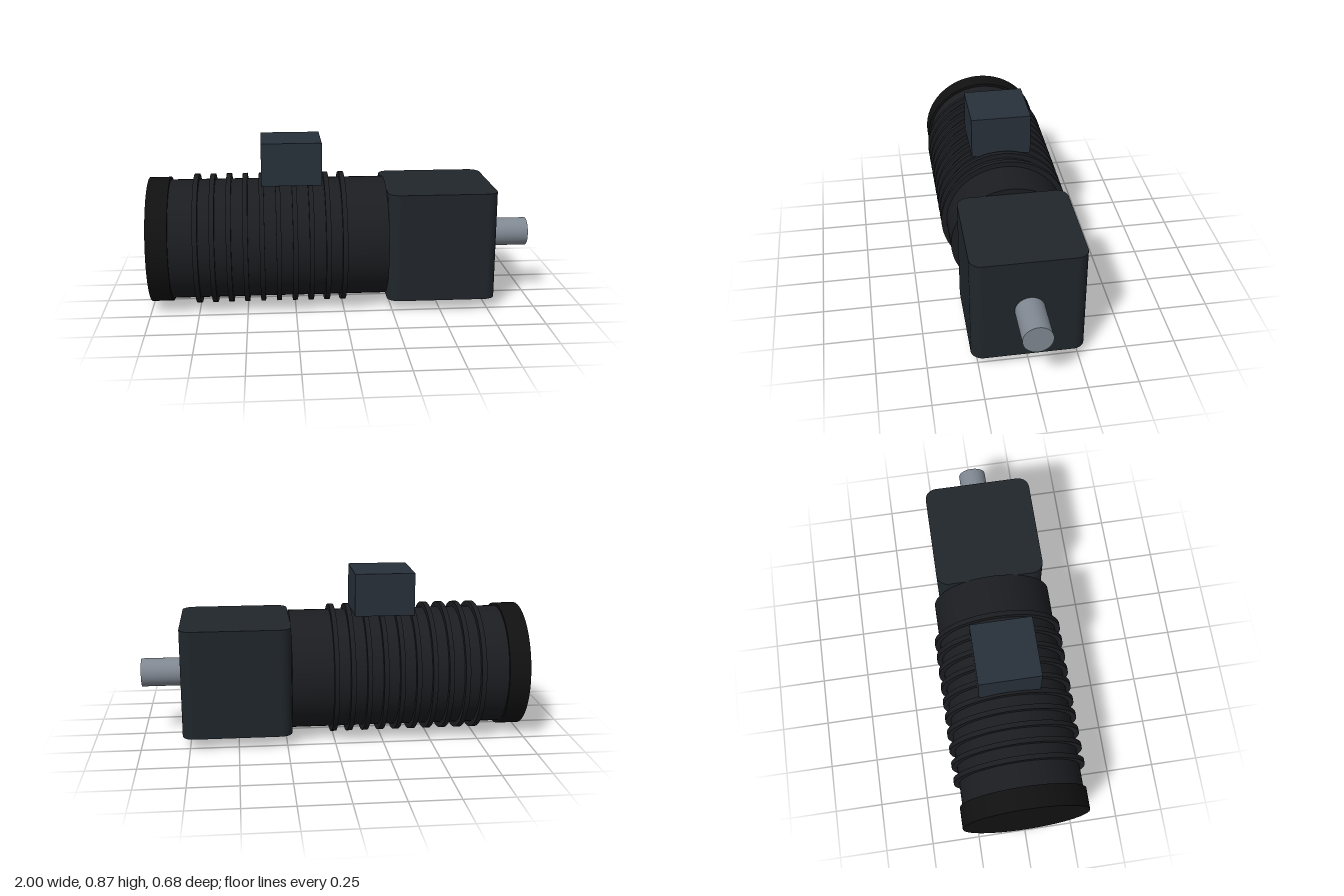
import * as THREE from 'three';

const AXIS_Y = 0.342; // height of the motor's axis

export function createModel() {
  const model = new THREE.Group();

  const add = (name, geometry, color, x, y = AXIS_Y) => {
    const mesh = new THREE.Mesh(geometry, new THREE.MeshStandardMaterial({ color }));
    mesh.name = name;
    mesh.position.set(x, y, 0);
    model.add(mesh);
    return mesh;
  };

  // Cylinder along x between two ends
  const rod = (name, radius, x0, x1, color) =>
    add(name, new THREE.CylinderGeometry(radius, radius, x1 - x0, 64).rotateZ(-Math.PI / 2), color, (x0 + x1) / 2);

  // Motor housing, rear cover and output shaft
  rod('motorBody', 0.313, -0.89, 0.225, 0x1c1d21);
  rod('rearCover', 0.327, -1, -0.89, 0x111111);
  rod('outputShaft', 0.074, 0.75, 1, 0x808892);

  // Cooling fins
  for (let i = 0; i < 10; i++) {
    const x = -0.754 + i * 0.0838;
    rod('coolingFin', 0.341, x - 0.0125, x + 0.0125, 0x1c1d21);
  }

  // Gearbox: square plan with rounded vertical edges, flat top and bottom
  const h = 0.282, r = 0.06, c = h - r;
  const plan = new THREE.Shape();
  plan.absarc(c, c, r, 0, Math.PI / 2);
  plan.absarc(-c, c, r, Math.PI / 2, Math.PI);
  plan.absarc(-c, -c, r, Math.PI, Math.PI * 1.5);
  plan.absarc(c, -c, r, Math.PI * 1.5, Math.PI * 2);
  const gearbox = new THREE.ExtrudeGeometry(plan, { depth: 2 * h, bevelEnabled: false, curveSegments: 10 });
  gearbox.translate(0, 0, -h).rotateX(-Math.PI / 2);
  add('gearbox', gearbox, 0x20262b, 0.506, 0.343);

  // Terminal box on top of the housing
  add('terminalBox', new THREE.BoxGeometry(0.309, 0.22, 0.312), 0x27303a, -0.263, 0.765);

  return model;
}
